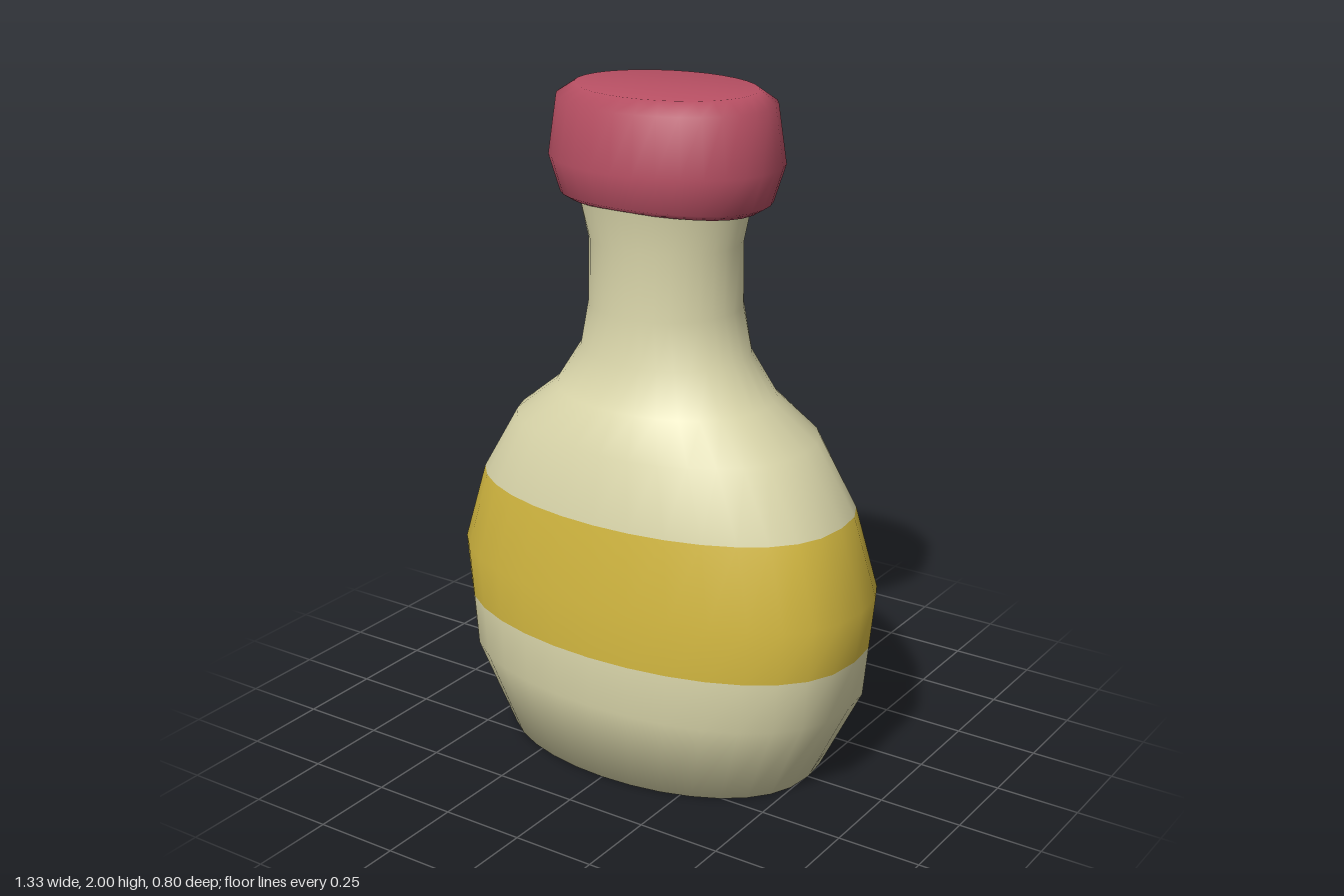
import * as THREE from 'three';

const SIDES = 32;

// Lofts oval rings [y, halfWidth, halfDepth, squareness = 1, dipAtSides = 0], bottom to top.
function loft(rings) {
  const pos = [], index = [];
  for (const [y, rx, rz, power = 1, dip = 0] of rings) {
    for (let j = 0; j < SIDES; j++) {
      const t = (j / SIDES) * Math.PI * 2, c = Math.cos(t), s = Math.sin(t);
      pos.push(rx * c, y - dip * c * c, -rz * Math.sign(s) * Math.abs(s) ** power);
    }
  }
  for (let i = 0; i < rings.length - 1; i++) {
    for (let j = 0; j < SIDES; j++) {
      const k = (j + 1) % SIDES;
      const a = i * SIDES + j, b = i * SIDES + k;
      index.push(a, b, b + SIDES, a, b + SIDES, a + SIDES);
    }
  }
  const geo = new THREE.BufferGeometry();
  geo.setAttribute('position', new THREE.Float32BufferAttribute(pos, 3));
  geo.setIndex(index);
  geo.computeVertexNormals();
  return geo;
}

// Takes the strips between two rings, keeping the shared smooth normals.
function slice(geo, from, to) {
  const part = new THREE.BufferGeometry();
  part.setAttribute('position', geo.attributes.position);
  part.setAttribute('normal', geo.attributes.normal);
  part.setIndex(Array.from(geo.index.array.slice(from * SIDES * 6, to * SIDES * 6)));
  return part;
}

export function createModel() {
  const group = new THREE.Group();
  const add = (name, geo, color) => {
    const mesh = new THREE.Mesh(geo, new THREE.MeshStandardMaterial({ color }));
    mesh.name = name;
    group.add(mesh);
  };
  const cream = 0xdcd8ac, gold = 0xd2b740, red = 0xb95064;

  // Flattened flask: base, belly, shoulder and neck
  const flask = loft([
    [0, 0, 0],
    [0, 0.505, 0.34, 0.85],
    [0.26, 0.632, 0.4, 0.82],
    [0.415, 0.648, 0.4, 0.82],
    [0.575, 0.665, 0.4, 0.82],
    [0.815, 0.592, 0.37, 0.84],
    [1.015, 0.47, 0.335, 0.88],
    [1.12, 0.34, 0.265, 0.95],
    [1.245, 0.26, 0.215],
    [1.38, 0.228, 0.21],
    [1.57, 0.228, 0.202],
    [1.69, 0.25, 0.235],
    [1.75, 0.25, 0.235],
  ]);
  add('lowerBody', slice(flask, 0, 3), cream);
  add('band', slice(flask, 3, 5), gold);
  add('shoulderAndNeck', slice(flask, 5, 12), cream);

  // Stopper with a rounded rim and a slightly dipped underside
  add('stopper', loft([
    [1.71, 0.22, 0.19],
    [1.69, 0.285, 0.23, 1, 0.02],
    [1.705, 0.318, 0.255, 1, 0.015],
    [1.8, 0.355, 0.276],
    [1.965, 0.33, 0.255],
    [2, 0.275, 0.21],
    [2, 0, 0],
  ]), red);

  return group;
}
